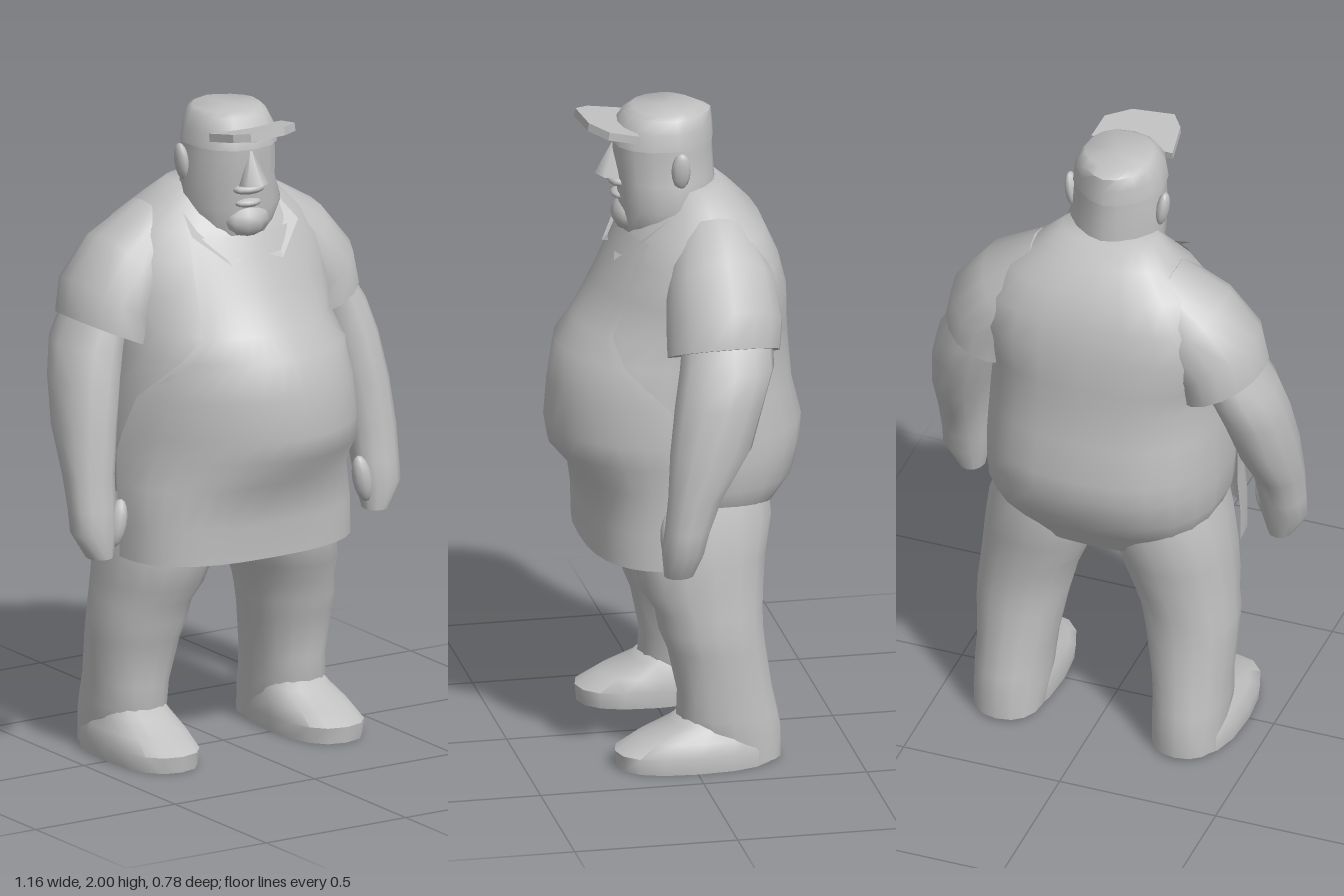
import * as THREE from 'three';
import { toCreasedNormals } from 'three/addons/utils/BufferGeometryUtils.js';

const grey = new THREE.MeshStandardMaterial({ color: 0xc0c0c0, side: THREE.DoubleSide });
grey.name = 'plain grey';

// Skin over rings listed bottom to top: [cx, y, cz, halfWidth, zFront, zBack, tilt, arc, frontPower, skew].
// A ring with an arc is an open strip centred on the front. Powers above 2 make a ring boxier,
// and skew slides the foremost point sideways.
function loft(rings, { seg = 16, power = 2, back = power, side = 1, open = false } = {}) {
  const pos = [], idx = [];
  const n = open ? seg + 1 : seg;
  const bend = (v, p) => Math.sign(v) * Math.abs(v) ** (2 / p);
  for (const [cx, y, cz, rx, zf, zb, tilt = 0, arc = Math.PI, front = power, skew = 0] of rings) {
    for (let i = 0; i < n; i++) {
      const t = open ? Math.PI / 2 + (i / seg - 0.5) * arc : i / seg * Math.PI * 2;
      const p = Math.sin(t) > -1e-6 ? front : back;
      const s = bend(Math.sin(t), p);
      const x = rx * bend(Math.cos(t), p) + skew * Math.max(s, 0);
      pos.push(side * (cx + x * Math.cos(tilt)), y + x * Math.sin(tilt), cz + (s > 0 ? zf - cz : cz - zb) * s);
    }
  }
  const face = (a, b, c) => (side > 0 ? idx.push(a, b, c) : idx.push(a, c, b));
  for (let k = 0; k < rings.length - 1; k++) {
    for (let i = 0; i < seg; i++) {
      const a = k * n + i, b = k * n + (i + 1) % n;
      face(a, a + n, b);
      face(b, a + n, b + n);
    }
  }
  if (!open) {
    const top = rings.length - 1, base = pos.length / 3;
    for (const k of [0, top]) pos.push(side * rings[k][0], rings[k][1], (rings[k][4] + rings[k][5]) / 2);
    for (let i = 0; i < seg; i++) {
      const j = (i + 1) % seg;
      face(base, i, j);
      face(base + 1, top * n + j, top * n + i);
    }
  }
  const g = new THREE.BufferGeometry();
  g.setAttribute('position', new THREE.Float32BufferAttribute(pos, 3));
  g.setIndex(idx);
  return toCreasedNormals(g, 0.9);
}

export function createModel() {
  const root = new THREE.Group();
  const add = (name, geo, parent = root) => {
    const m = new THREE.Mesh(geo, grey);
    m.name = name;
    parent.add(m);
    return m;
  };
  const blob = (name, x, y, z, sx, sy, sz, parent) => {
    const m = add(name, new THREE.SphereGeometry(1, 10, 8), parent);
    m.position.set(x, y, z);
    m.scale.set(sx, sy, sz);
    return m;
  };
  const half = Math.PI;

  // Heavy body with a forward belly and broad flattened back
  add('torso', loft([
    [0, 0.7, -0.06, 0.26, 0.13, -0.24], [0, 0.79, -0.05, 0.34, 0.18, -0.3],
    [0, 0.87, -0.02, 0.37, 0.28, -0.36], [0, 0.96, 0, 0.375, 0.365, -0.38, 0, half, 1.9, 0.05],
    [0, 1.03, 0, 0.375, 0.38, -0.385, 0, half, 1.9, 0.05], [0, 1.15, 0, 0.37, 0.37, -0.355, 0, half, 1.9, 0.04],
    [0, 1.27, 0, 0.36, 0.345, -0.345, 0, half, 1.9, 0.02], [0, 1.34, -0.05, 0.36, 0.285, -0.34],
    [0, 1.45, -0.09, 0.385, 0.22, -0.335], [0, 1.55, -0.1, 0.37, 0.175, -0.31],
    [0, 1.64, -0.1, 0.3, 0.13, -0.27], [0, 1.71, -0.08, 0.21, 0.07, -0.205],
    [0, 1.76, -0.06, 0.15, 0.03, -0.15]], { seg: 24, power: 1.9, back: 2.6 }));

  // Apron hanging free over the thighs, narrowing to a bib
  add('apron', loft([
    [0, 0.64, 0.02, 0.385, 0.28, 0, 0, half, 2.6], [0, 0.75, 0.02, 0.385, 0.285, 0, 0, half, 2.5],
    [0, 0.87, 0, 0.383, 0.305, 0, 0, half, 2.2], [0, 0.96, 0, 0.383, 0.38, 0, 0, half, 1.9, 0.05],
    [0, 1.03, 0, 0.382, 0.392, 0, 0, 3, 1.9, 0.05], [0, 1.15, 0, 0.377, 0.38, 0, 0, 2.7, 1.9, 0.04],
    [0, 1.27, 0, 0.367, 0.355, 0, 0, 1.9, 1.9, 0.02], [0, 1.34, -0.05, 0.367, 0.295, 0, 0, 1.3],
    [0, 1.45, -0.09, 0.392, 0.23, 0, 0, 1.15], [0, 1.55, -0.1, 0.377, 0.185, 0, 0, 1.15],
    [0, 1.62, -0.1, 0.325, 0.15, 0, 0, 1.25]], { open: true, power: 1.9 }));

  for (const s of [1, -1]) {
    const label = s > 0 ? 'left' : 'right';

    // Short sleeve, flaring to a slanted hem
    add(label + 'Sleeve', loft([
      [0.375, 1.325, -0.09, 0.14, 0.085, -0.26, 0.42], [0.36, 1.41, -0.1, 0.145, 0.085, -0.27, 0.58],
      [0.285, 1.505, -0.1, 0.145, 0.07, -0.265, 0.85], [0.17, 1.61, -0.1, 0.11, 0.03, -0.22, 1.0]],
      { side: s }));

    // Arm with relaxed hand
    add(label + 'Arm', loft([
      [0.495, 0.67, 0.08, 0.04, 0.12, 0.03], [0.51, 0.75, 0.07, 0.072, 0.13, 0],
      [0.507, 0.82, 0.06, 0.074, 0.12, -0.02], [0.505, 0.92, 0.04, 0.077, 0.11, -0.06],
      [0.488, 1.06, -0.01, 0.09, 0.1, -0.15], [0.462, 1.2, -0.06, 0.1, 0.08, -0.195],
      [0.435, 1.3, -0.09, 0.1, 0.06, -0.23], [0.39, 1.41, -0.1, 0.08, 0.04, -0.23]], { side: s, seg: 12 }));
    const thumb = blob(label + 'Thumb', s * 0.44, 0.77, 0.09, 0.03, 0.075, 0.03);
    thumb.rotation.z = s * 0.2;

    // Baggy trouser leg with knee folds and a cuff dragging at the heel
    add(label + 'Leg', loft([
      [0.285, 0.01, -0.16, 0.105, -0.05, -0.28], [0.285, 0.1, -0.12, 0.113, 0.02, -0.28],
      [0.285, 0.15, -0.11, 0.115, 0.04, -0.27], [0.28, 0.22, -0.1, 0.118, 0.035, -0.255],
      [0.272, 0.36, -0.08, 0.136, 0.065, -0.235], [0.265, 0.42, -0.07, 0.143, 0.09, -0.23],
      [0.255, 0.48, -0.07, 0.146, 0.1, -0.23], [0.24, 0.54, -0.06, 0.156, 0.14, -0.235],
      [0.215, 0.64, -0.06, 0.172, 0.16, -0.245], [0.19, 0.76, -0.06, 0.18, 0.17, -0.27],
      [0.18, 0.86, -0.05, 0.16, 0.17, -0.26]], { side: s, power: 2.2 }));

    // Rounded shoe
    add(label + 'Shoe', loft([
      [0.295, 0, 0, 0.125, 0.225, -0.25], [0.295, 0.05, 0, 0.13, 0.23, -0.25],
      [0.29, 0.09, -0.02, 0.118, 0.16, -0.23], [0.285, 0.13, -0.05, 0.1, 0.06, -0.2],
      [0.285, 0.17, -0.07, 0.08, 0.02, -0.18]], { side: s, power: 2.4 }));

    // Folded shirt collar wing
    const wing = new THREE.BufferGeometry().setFromPoints([
      [0.16, 1.71, 0], [0.01, 1.57, 0.17], [0.09, 1.54, 0.19],
      [0.16, 1.71, 0], [0.09, 1.54, 0.19], [0.19, 1.63, 0.12]
    ].map(p => new THREE.Vector3(s * p[0], p[1], p[2])));
    wing.setIndex(s > 0 ? [0, 1, 2, 3, 4, 5] : [0, 2, 1, 3, 5, 4]);
    wing.computeVertexNormals();
    add(label + 'Collar', wing);
  }

  // Head: neck, jowls, face, ears, narrowing towards the back
  const head = new THREE.Group();
  head.name = 'head';
  root.add(head);
  add('face', loft([
    [0, 1.57, 0, 0.1, 0.13, -0.13], [0, 1.62, 0, 0.13, 0.15, -0.14],
    [0.015, 1.7, 0, 0.155, 0.16, -0.14], [0, 1.78, 0, 0.145, 0.165, -0.135],
    [0, 1.86, 0, 0.14, 0.175, -0.13], [0, 1.92, 0, 0.135, 0.175, -0.13]], { power: 2.2, back: 1.6 }), head);
  const nose = add('nose', new THREE.ConeGeometry(0.045, 0.12, 6), head);
  nose.position.set(-0.01, 1.84, 0.175);
  nose.rotation.x = -0.15;
  blob('chin', 0, 1.66, 0.125, 0.075, 0.055, 0.055, head);
  blob('upperLip', -0.01, 1.765, 0.155, 0.055, 0.018, 0.035, head);
  blob('lowerLip', -0.01, 1.72, 0.15, 0.045, 0.015, 0.03, head);
  for (const s of [1, -1]) {
    const ear = blob('ear', s * 0.145, 1.83, -0.005, 0.02, 0.06, 0.03, head);
    ear.rotation.z = -s * 0.15;
  }

  // Flat-topped cap with an upturned bill
  add('capCrown', loft([
    [0, 1.89, 0, 0.142, 0.178, -0.133], [0, 1.94, 0, 0.135, 0.17, -0.13],
    [0, 1.98, 0, 0.118, 0.14, -0.125], [0, 1.995, 0, 0.105, 0.115, -0.09]], { power: 2.4, back: 1.6 }), head);
  const brim = new THREE.Shape().moveTo(-0.13, 0).lineTo(0.13, 0)
    .lineTo(0.12, 0.09).lineTo(0.05, 0.14).lineTo(-0.08, 0.155).lineTo(-0.115, 0.11);
  const bill = add('capBill', new THREE.ExtrudeGeometry(brim, { depth: 0.025, bevelEnabled: false })
    .rotateX(Math.PI / 2), head);
  bill.position.set(0, 1.945, 0.12);
  bill.rotation.x = -0.18;

  return root;
}
